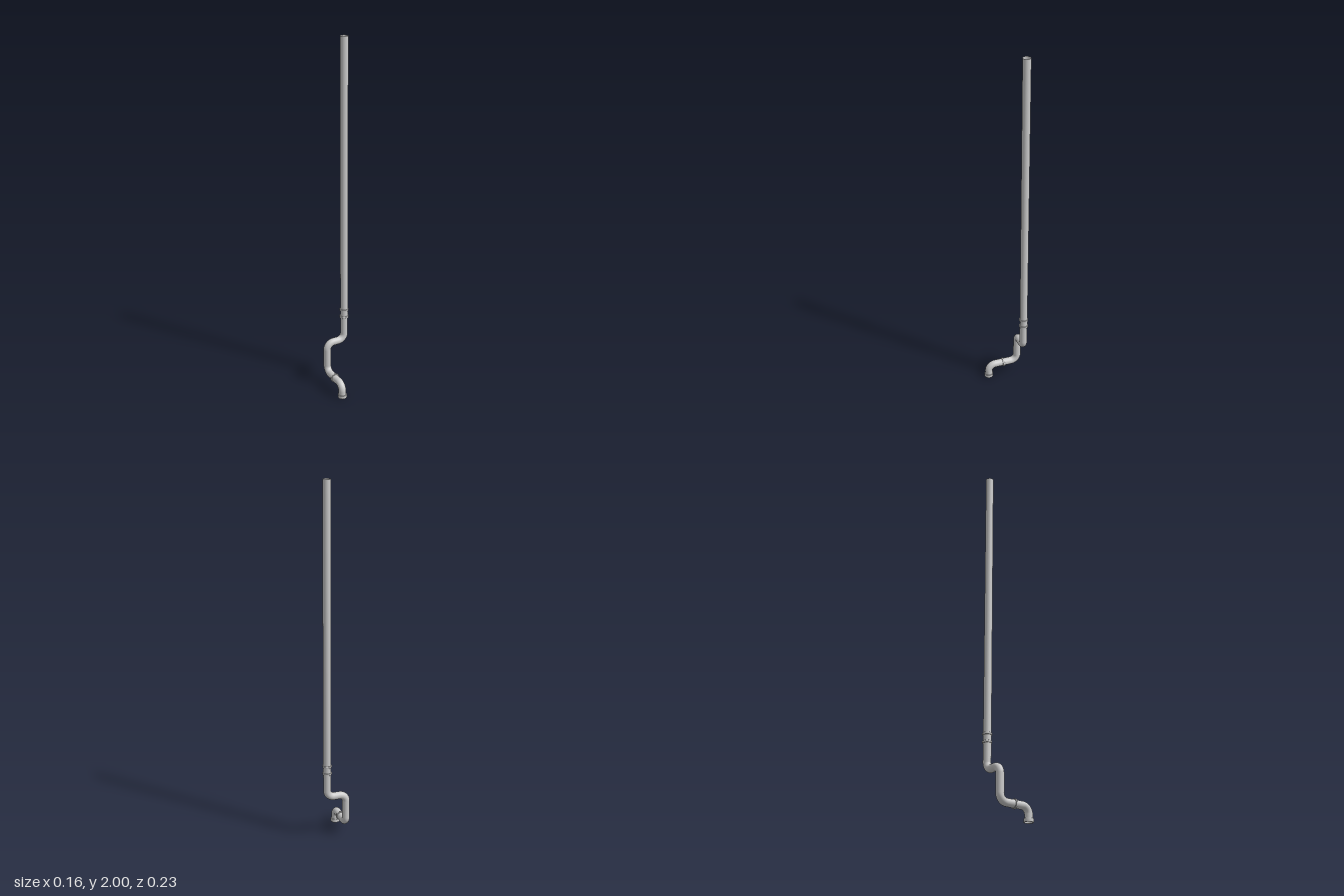
import * as THREE from 'three';

const R = 0.0213; // pipe radius
const BEND = 0.04; // centre-line radius of the elbows
const SIDES = 32;

export function createModel() {
  const model = new THREE.Group();
  const material = new THREE.MeshStandardMaterial({ color: 0xcccccc, side: THREE.DoubleSide });
  const add = (name, geometry, parent = model) => {
    const mesh = new THREE.Mesh(geometry, material);
    mesh.name = name;
    parent.add(mesh);
    return mesh;
  };

  // Centre line of the drainpipe, from the foot to the open top
  const X = 0.0555, Z = 0.0875;
  const corners = [
    [-X, 0, Z], [-X, 0.08, Z], [-X, 0.08, -Z],
    [-X, 0.26, -Z], [X, 0.26, -Z], [X, 2, -Z],
  ].map((p) => new THREE.Vector3(...p));

  // Straight runs joined by quarter-circle elbows
  let start = corners[0];
  for (let i = 1; i < corners.length; i++) {
    const c = corners[i];
    const dirIn = c.clone().sub(corners[i - 1]).normalize();
    const last = i === corners.length - 1;
    const end = last ? c : c.clone().addScaledVector(dirIn, -BEND);
    add('straightPipe' + i, new THREE.TubeGeometry(new THREE.LineCurve3(start, end), 1, R, SIDES));
    if (last) break;
    const dirOut = corners[i + 1].clone().sub(c).normalize();
    const next = c.clone().addScaledVector(dirOut, BEND);
    const k = BEND * 0.5523;
    const arc = new THREE.CubicBezierCurve3(
      end, end.clone().addScaledVector(dirIn, k),
      next.clone().addScaledVector(dirOut, -k), next);
    add('elbow' + i, new THREE.TubeGeometry(arc, 14, R, SIDES));
    start = next;
  }

  // Raised collars: a closed ring with a slightly chamfered edge
  const collar = (name, x, y, z, height, radius = 0.0255) => {
    const h = height / 2, c = 0.0015;
    const profile = [
      [R - 0.0005, -h], [radius - c, -h], [radius, -h + c],
      [radius, h - c], [radius - c, h], [R - 0.0005, h],
    ].map((p) => new THREE.Vector2(...p));
    const geometry = new THREE.LatheGeometry(profile, SIDES);
    const mesh = add(name, geometry);
    mesh.position.set(x, y, z);
    return mesh;
  };
  collar('upperCouplingRing', X, 0.45, -Z, 0.012);
  collar('lowerCouplingRing', X, 0.407, -Z, 0.012);
  collar('footCollar', -X, 0.01, Z, 0.02);
  collar('middleJointRing', -X, 0.08, 0, 0.011, 0.026).rotation.x = Math.PI / 2;

  return model;
}
